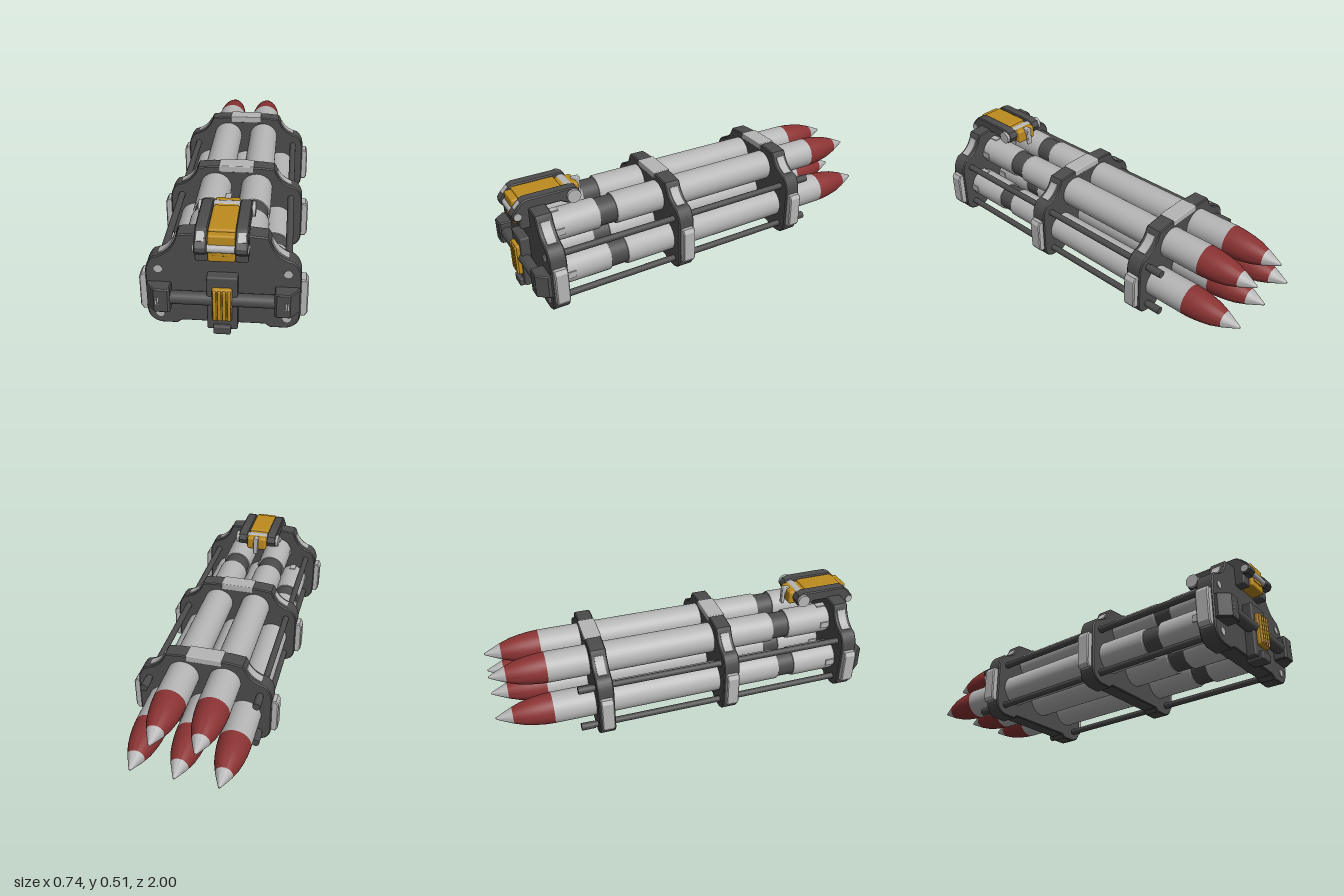
import * as THREE from 'three';
import { toCreasedNormals } from 'three/addons/utils/BufferGeometryUtils.js';
import { RoundedBoxGeometry } from 'three/addons/geometries/RoundedBoxGeometry.js';

const material = (name, color) => {
  const m = new THREE.MeshStandardMaterial({ color });
  m.name = name;
  return m;
};

export function createModel() {
  const root = new THREE.Group();
  root.name = 'shellRack';
  const dark = material('darkMetal', 0x4c4c4c);
  const light = material('lightMetal', 0xb6b6b6);
  const red = material('warheadRed', 0x8a3232);
  const yellow = material('latchYellow', 0xbd8c1e);

  const add = (name, geo, mat, x = 0, y = 0, z = 0, parent = root) => {
    const mesh = new THREE.Mesh(geo, mat);
    mesh.name = name;
    mesh.position.set(x, y, z);
    parent.add(mesh);
    return mesh;
  };
  // box given by its limits on each axis
  const box = (name, mat, [x0, x1], [y0, y1], [z0, z1], r = 0.006) =>
    add(name, new RoundedBoxGeometry(x1 - x0, y1 - y0, z1 - z0, 2, r), mat,
      (x0 + x1) / 2, (y0 + y1) / 2, (z0 + z1) / 2);
  // extrusion centred on its depth, with a small bevel inside the outline
  const extrude = (shape, depth, bevel = 0.005) => {
    const geo = new THREE.ExtrudeGeometry(shape, {
      depth: depth - 2 * bevel, bevelEnabled: bevel > 0, bevelSize: bevel, bevelThickness: bevel,
      bevelOffset: -bevel, bevelSegments: 1, curveSegments: 12,
    });
    geo.translate(0, 0, bevel - depth / 2);
    return toCreasedNormals(geo, 0.5);
  };
  const polygon = (pts) => new THREE.Shape(pts.map(([a, b]) => new THREE.Vector2(a, b)));
  const cylinderX = (r, len) => new THREE.CylinderGeometry(r, r, len, 24).rotateZ(Math.PI / 2);
  const cylinderZ = (r, len) => new THREE.CylinderGeometry(r, r, len, 20).rotateX(Math.PI / 2);

  // Shells: profile points are [radius, z], running from front to back
  const turned = (pts) => {
    const geo = new THREE.LatheGeometry(pts.map(([r, z]) => new THREE.Vector2(r, -z)), 40);
    return toCreasedNormals(geo.rotateX(-Math.PI / 2), 0.5);
  };
  const shellParts = [
    ['shellBase', light, turned([[0, 0.835], [0.074, 0.835], [0.08, 0.825], [0.08, 0.595], [0.077, 0.59], [0, 0.59]])],
    ['shellNeck', dark, turned([[0.071, 0.6], [0.071, 0.49]])],
    ['shellBody', light, turned([[0, 0.5], [0.077, 0.5], [0.08, 0.495], [0.08, -0.715]])],
    ['shellNose', red, turned([[0.08, -0.715], [0.0775, -0.76], [0.071, -0.81], [0.061, -0.86], [0.042, -0.915]])],
    ['shellTip', light, turned([[0.042, -0.915], [0.022, -0.96], [0.005, -0.997], [0, -1]])],
  ];
  const lug = new THREE.BoxGeometry(0.01, 0.034, 0.05);
  for (const [x, y] of [[-0.208, 0.16], [0, 0.16], [0.208, 0.16], [-0.104, 0.34], [0.104, 0.34]]) {
    const shell = new THREE.Group();
    shell.name = 'shell';
    shell.position.set(x, y, 0);
    for (const [name, mat, geo] of shellParts) add(name, geo, mat, 0, 0, 0, shell);
    for (let i = 0; i < 4; i++) {
      const a = i * Math.PI / 2;
      add('shellLug', lug, light, 0.079 * Math.cos(a), 0.079 * Math.sin(a), 0.805, shell).rotation.z = a;
    }
    root.add(shell);
  }

  // Frame plates with scooped shoulders
  const plateShape = (top) => {
    const k = top - 0.47;
    const s = new THREE.Shape();
    s.moveTo(0.185, 0.017);
    s.lineTo(0.207, 0);
    s.lineTo(0.275, 0);
    s.quadraticCurveTo(0.338, 0.012, 0.338, 0.08);
    s.lineTo(0.338, 0.275);
    s.quadraticCurveTo(0.334, 0.32, 0.303, 0.347);
    s.quadraticCurveTo(0.225, 0.365, 0.2, 0.45 + k);
    s.lineTo(0.192, 0.463 + k);
    s.lineTo(0.12, top);
    s.lineTo(-0.12, top);
    s.lineTo(-0.192, 0.463 + k);
    s.lineTo(-0.2, 0.45 + k);
    s.quadraticCurveTo(-0.225, 0.365, -0.303, 0.347);
    s.quadraticCurveTo(-0.334, 0.32, -0.338, 0.275);
    s.lineTo(-0.338, 0.08);
    s.quadraticCurveTo(-0.338, 0.012, -0.275, 0);
    s.lineTo(-0.207, 0);
    s.lineTo(-0.185, 0.017);
    return s;
  };
  // thin strip that follows the scooped shoulder
  const shoulderStrip = (top, side) => {
    const v = (x, y) => new THREE.Vector2(x, y);
    const curve = new THREE.QuadraticBezierCurve(v(0.303, 0.347), v(0.225, 0.365), v(0.2, top - 0.02));
    const outer = [], inner = [];
    for (let i = 0; i <= 8; i++) {
      const t = 0.15 + 0.75 * i / 8;
      const p = curve.getPoint(t), d = curve.getTangent(t);
      outer.push([side * (p.x + 0.005 * d.y), p.y - 0.005 * d.x]);
      inner.unshift([side * (p.x - 0.003 * d.y), p.y + 0.003 * d.x]);
    }
    return extrude(polygon([...outer, ...inner]), 0.045, 0);
  };
  const padOutline = [[0.33, 0.065], [0.357, 0.065], [0.369, 0.085], [0.369, 0.235], [0.357, 0.255], [0.33, 0.255]];
  for (const [name, z, top] of [['frontPlate', 0.878, 0.47], ['middleFrame', 0.203, 0.455], ['rearFrame', -0.462, 0.455]]) {
    add(name, extrude(plateShape(top), 0.084), dark, 0, 0, z);
    for (const side of [-1, 1]) {
      add('sidePad', extrude(polygon(padOutline.map(([x, y]) => [side * x, y])), 0.066), light, 0, 0, z);
      add('shoulderStrip', shoulderStrip(top, side), light, 0, 0, z);
    }
    if (z < 0.8) box('topSaddle', light, [-0.088, 0.088], [0.425, 0.46], [z - 0.044, z + 0.044], 0.005);
  }

  // Tie rods with nuts at the back and bright ends at the front
  for (const x of [-0.28, 0.28]) for (const y of [0.055, 0.29]) {
    add('tieRod', cylinderZ(0.0165, 1.45), dark, x, y, 0.135);
    add('tieRodNut', cylinderZ(0.0195, 0.07), dark, x, y, -0.555);
    add('tieRodEnd', cylinderZ(0.0185, 0.01), light, x, y, 0.919);
  }

  // Front handle: bar, corner brackets, centre block and ribbed grip
  add('handleBar', cylinderX(0.03, 0.46), dark, 0, 0.163, 0.948);
  const bracket = [[0.225, 0.91], [0.225, 0.975], [0.235, 0.983], [0.294, 0.983], [0.333, 0.935], [0.333, 0.91]];
  for (const side of [-1, 1]) {
    const geo = extrude(polygon(bracket.map(([x, z]) => [side * x, z])), 0.12);
    add('handleBracket', geo.rotateX(Math.PI / 2), dark, 0, 0.162, 0);
    for (const dx of [-0.006, 0.004])
      add('bracketMark', new THREE.BoxGeometry(0.004, 0.034, 0.004), light, side * (0.282 + dx), 0.163, 0.983);
  }
  box('centreBlock', dark, [-0.067, 0.067], [0.013, 0.285], [0.91, 0.965], 0.008);
  box('bottomTab', dark, [-0.038, 0.038], [0, 0.042], [0.9, 0.985]);
  box('grip', yellow, [-0.043, 0.043], [0.07, 0.235], [0.95, 0.983], 0.009);
  for (let i = 0; i < 4; i++) {
    const x = -0.0315 + i * 0.021;
    box('gripRib', yellow, [x - 0.0075, x + 0.0075], [0.077, 0.229], [0.97, 0.991], 0.005);
  }

  // Top latch: arm outline is [z, y]
  const arm = [[0.985, 0.412], [1, 0.43], [0.998, 0.45], [0.985, 0.467], [0.945, 0.507], [0.925, 0.515], [0.7, 0.515],
    [0.67, 0.505], [0.655, 0.475], [0.667, 0.446], [0.695, 0.434], [0.725, 0.44], [0.76, 0.458],
    [0.87, 0.458], [0.905, 0.44], [0.95, 0.41]];
  for (const side of [-1, 1]) {
    add('latchArm', extrude(polygon(arm), 0.055).rotateY(-Math.PI / 2), dark, side * 0.0855, 0, 0);
    box('latchBracket', dark, side > 0 ? [0.058, 0.113] : [-0.113, -0.058], [0.365, 0.47], [0.9, 0.965], 0.008);
    const plate = add('armPlate', new THREE.BoxGeometry(0.032, 0.042, 0.006), light, side * 0.0865, 0.4875, 0.9655);
    plate.rotation.x = -Math.PI / 4;
  }
  add('rearPin', cylinderX(0.034, 0.254), light, 0, 0.474, 0.695);
  add('frontPin', cylinderX(0.019, 0.238), light, 0, 0.438, 0.974);
  box('latchFront', yellow, [-0.058, 0.058], [0.372, 0.5], [0.9, 0.979], 0.01);
  box('latchPanel', yellow, [-0.038, 0.038], [0.405, 0.456], [0.97, 0.982], 0.003);
  box('latchBody', yellow, [-0.058, 0.058], [0.45, 0.511], [0.73, 0.945], 0.01);
  box('latchTongue', yellow, [-0.058, 0.058], [0.425, 0.503], [0.64, 0.75], 0.015);
  box('latchHook', light, [-0.014, 0.014], [0.41, 0.487], [0.618, 0.636], 0.005);
  box('latchHookTop', light, [-0.014, 0.014], [0.475, 0.509], [0.618, 0.66], 0.005);

  return root;
}
